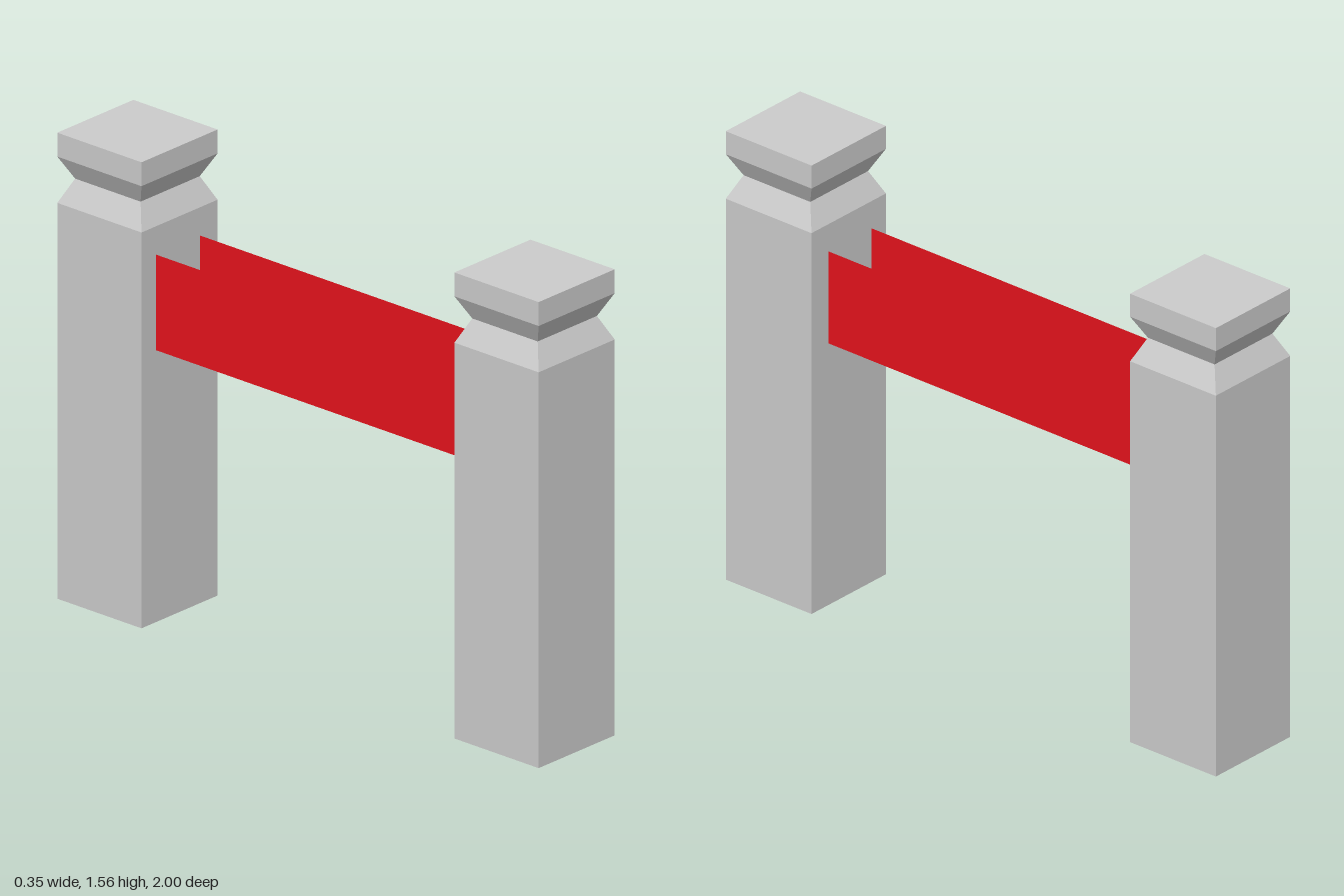
import * as THREE from 'three';

const grey = new THREE.MeshStandardMaterial({ color: 0xcccccc, flatShading: true });
const red = new THREE.MeshStandardMaterial({ color: 0xe4121c, side: THREE.DoubleSide });

// Half width and height of the square post, from the foot up to the cap
const postProfile = [
  [0, 0], [0.175, 0], [0.175, 1.325], [0.136, 1.405],
  [0.175, 1.48], [0.175, 1.56], [0, 1.56],
];

// Square post with a pinched neck: a four-sided lathe turned to face the axes
function createPost(name, z) {
  const points = postProfile.map(([half, y]) => new THREE.Vector2(half * Math.SQRT2, y));
  const geometry = new THREE.LatheGeometry(points, 4).rotateY(Math.PI / 4);
  const post = new THREE.Mesh(geometry, grey);
  post.name = name;
  post.position.z = z;
  return post;
}

// Thin upright band spanning the gap between the posts
function createBand(name, x) {
  const geometry = new THREE.PlaneGeometry(1.3, 0.32).rotateY(Math.PI / 2);
  const band = new THREE.Mesh(geometry, red);
  band.name = name;
  band.position.set(x, 1.07, 0);
  return band;
}

export function createModel() {
  const model = new THREE.Group();
  model.name = 'barrier';
  model.add(
    createPost('frontPost', 0.825),
    createPost('backPost', -0.825),
    createBand('leftBand', 0.095),
    createBand('rightBand', -0.108),
  );
  return model;
}
